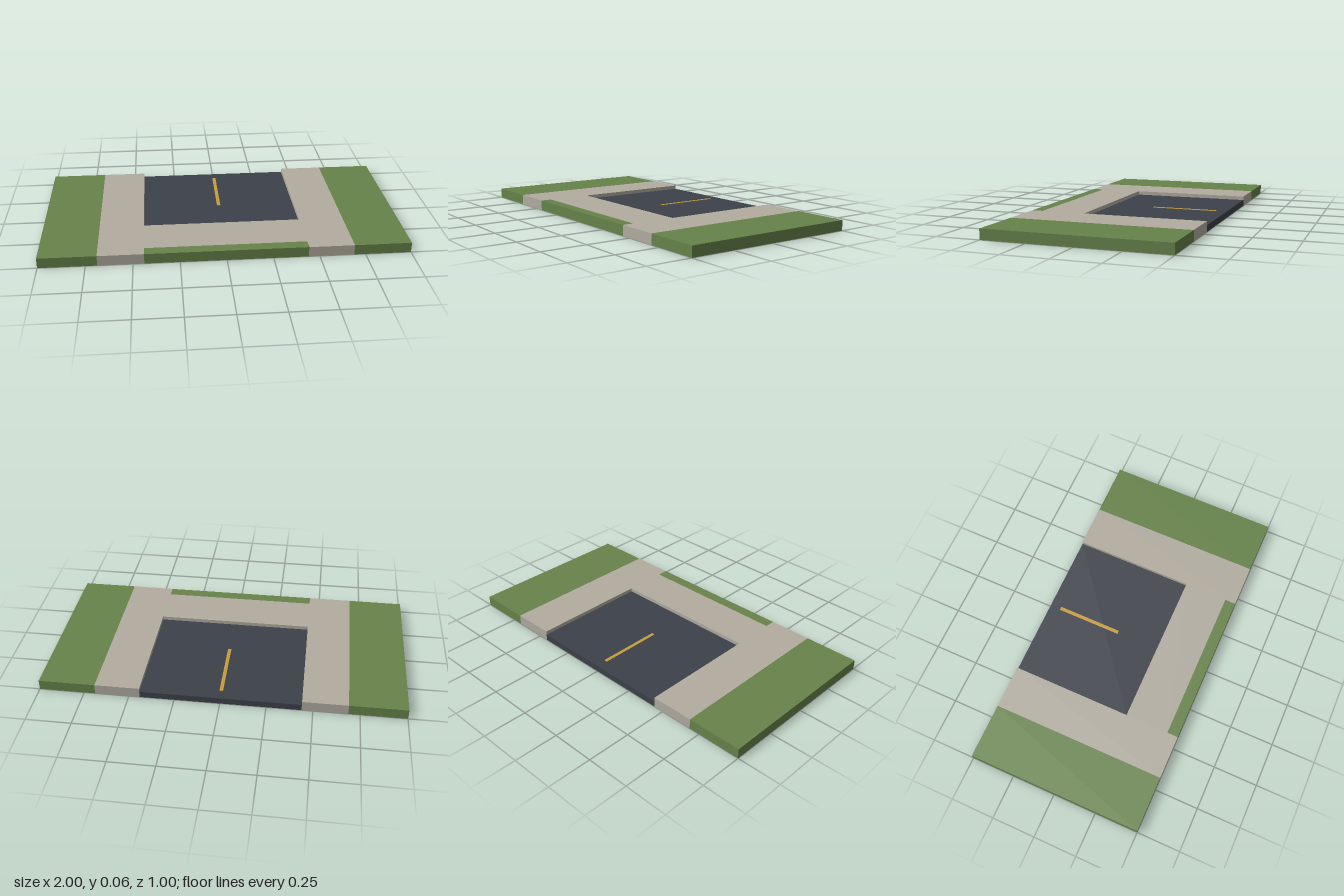
import * as THREE from 'three';

const FACES = ['px', 'nx', 'py', 'ny', 'pz', 'nz'];

// Box given by its extents, keeping only the listed faces
function shell(name, material, [x0, x1], [y0, y1], [z0, z1], faces) {
  const geo = new THREE.BoxGeometry(x1 - x0, y1 - y0, z1 - z0);
  const all = Array.from(geo.index.array);
  geo.setIndex(faces.flatMap((f) => {
    const start = FACES.indexOf(f) * 6;
    return all.slice(start, start + 6);
  }));
  geo.clearGroups();
  geo.translate((x0 + x1) / 2, (y0 + y1) / 2, (z0 + z1) / 2);
  const mesh = new THREE.Mesh(geo, material);
  mesh.name = name;
  return mesh;
}

function paint(name, color) {
  const m = new THREE.MeshStandardMaterial({ color, side: THREE.DoubleSide });
  m.name = name;
  return m;
}

export function createModel() {
  const grass = paint('grass green', 0x67834a);
  const paving = paint('paving grey', 0xb2aca0);
  const asphalt = paint('asphalt', 0x3c4149);
  const yellow = paint('line yellow', 0xc79d3c);

  const H = 0.0575;         // kerb height
  const ROAD = 0.036;       // road surface height
  const INNER = 0.44, OUTER = 0.6875;
  const END = 0.1875, VERGE = 0.4375;
  const depth = [-0.5, 0.5];

  const model = new THREE.Group();
  model.name = 'roadEndTile';

  // Side lawns and sidewalks, hollow underneath
  for (const s of [1, -1]) {
    const span = (a, b) => (s > 0 ? [a, b] : [-b, -a]);
    const side = s > 0 ? 'left' : 'right';
    model.add(
      shell(side + 'Lawn', grass, span(OUTER, 1), [0, H], depth,
        [s > 0 ? 'px' : 'nx', 'py', 'pz', 'nz']),
      shell(side + 'Sidewalk', paving, span(INNER, OUTER), [0, H], depth,
        [s > 0 ? 'nx' : 'px', 'py', 'pz', 'nz']),
    );
  }

  // Sidewalk and grass verge closing the road's end
  const middle = [-INNER, INNER];
  model.add(
    shell('endSidewalk', paving, middle, [0, H], [END, VERGE], ['py', 'ny', 'nz']),
    shell('frontVerge', grass, middle, [0, H], [VERGE, 0.5], ['py', 'ny', 'pz']),
  );

  // Sunken road with its rear edge, and the painted centre line
  model.add(
    shell('road', asphalt, middle, [0, ROAD], [-0.5, END], ['py', 'nz']),
    shell('centreLine', yellow, [-0.01, 0.01], [ROAD, ROAD + 0.002], [-0.4375, -0.0625],
      ['px', 'nx', 'py', 'pz', 'nz']),
  );
  return model;
}
